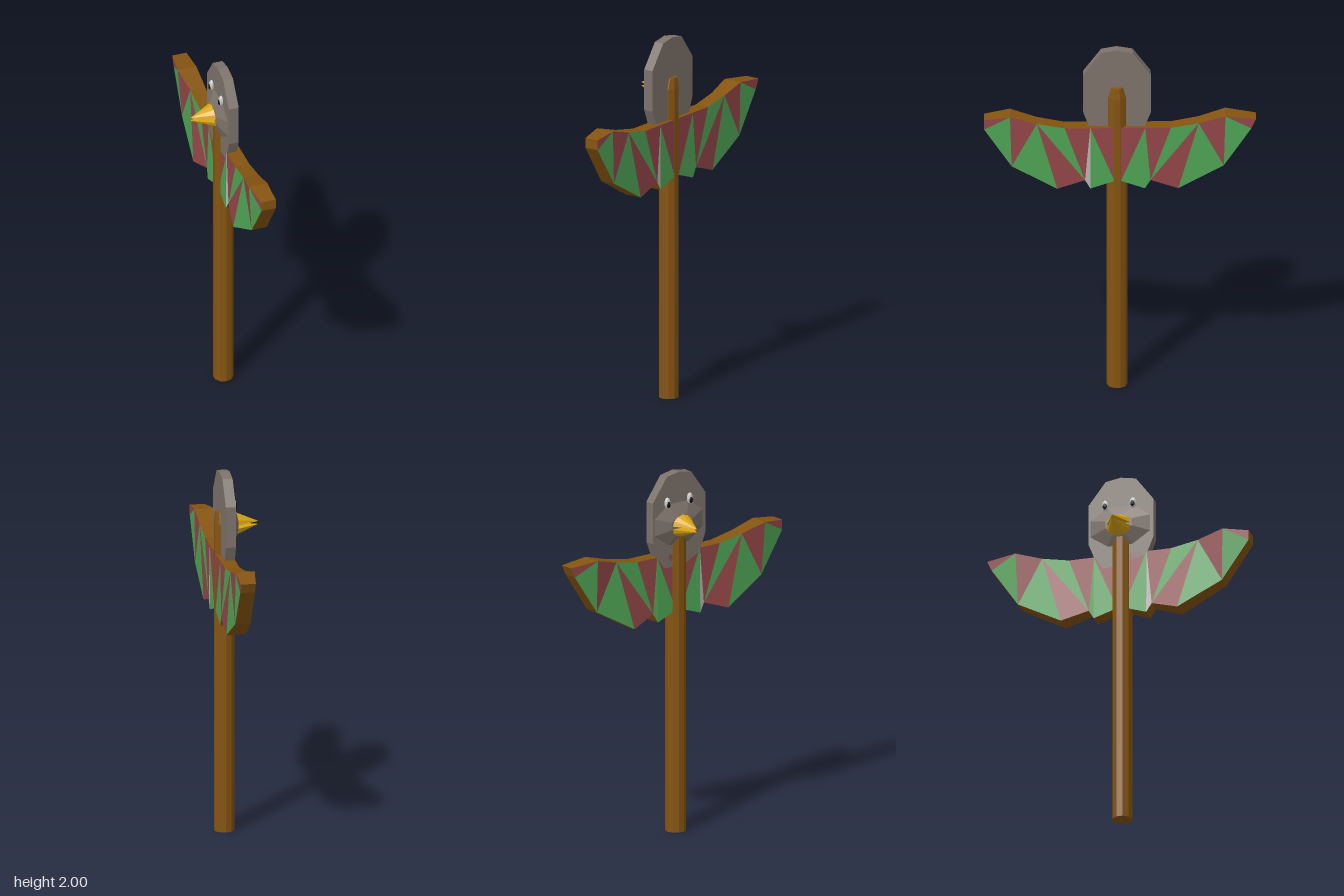
import * as THREE from 'three';

const mat = (color, extra = {}) => new THREE.MeshStandardMaterial({ color, flatShading: true, ...extra });
const wood = mat(0x855410), green = mat(0x4fa555), red = mat(0x944648);
const stone = mat(0x7d736b), pale = mat(0xbfb5b5), gold = mat(0xd9a514);
const black = mat(0x111111), white = mat(0xdddddd);
const MID = 0.0125; // mirror plane in z

function add(parent, name, geo, material, x = 0, y = 0, z = 0) {
  const mesh = new THREE.Mesh(geo, material);
  mesh.name = name;
  mesh.position.set(x, y, z);
  parent.add(mesh);
  return mesh;
}

// Wing outline stations from tip to root: [z, y, x of the carved face]
const TOP = [[0.725, 1.6, 0.035], [0.587, 1.617, 0.01], [0.444, 1.577, 0.03],
  [0.296, 1.55, 0.035], [0.159, 1.55, 0.035], [0.03, 1.55, 0.035]];
const LOW = [[0.725, 1.545, 0.035], [0.578, 1.325, 0.03], [0.335, 1.19, 0.01],
  [0.187, 1.24, 0.035], [0.158, 1.19, 0.03], [0.03, 1.235, 0.035]];
// Painted triangles across the wing: top stations 0-5, lower stations 6-11
const PAINT = [[0, 1, 6, 'r'], [1, 7, 6, 'g'], [1, 2, 7, 'r'], [2, 8, 7, 'g'], [2, 9, 8, 'r'],
  [2, 3, 9, 'g'], [3, 4, 9, 'r'], [4, 10, 9, 'p'], [4, 11, 10, 'g'], [4, 5, 11, 'r']];

function makeWing(name, mirrored) {
  const wing = new THREE.Group();
  wing.name = name;
  const pts = [...TOP, ...LOW].map(([z, y, x], i) => {
    const zz = !mirrored ? z : i === 0 ? -0.725 : 2 * MID - z;
    return { carved: [x, y, zz], flat: [0.115, y, zz] };
  });
  const faces = { r: [], g: [], p: [], wood: [] };
  const tri = (list, a, b, c) => list.push(...(mirrored ? [...a, ...b, ...c] : [...a, ...c, ...b]));
  for (const [a, b, c, key] of PAINT) {
    const list = faces[key === 'p' && mirrored ? 'g' : key];
    tri(list, pts[a].flat, pts[b].flat, pts[c].flat);
    tri(list, pts[a].carved, pts[c].carved, pts[b].carved);
  }
  // Wooden rim around the outline
  const loop = [0, 1, 2, 3, 4, 5, 11, 10, 9, 8, 7, 6];
  loop.forEach((i, k) => {
    const p = pts[i], q = pts[loop[(k + 1) % loop.length]];
    tri(faces.wood, p.flat, p.carved, q.carved);
    tri(faces.wood, p.flat, q.carved, q.flat);
  });
  const look = { r: ['redFeathers', red], g: ['greenFeathers', green], p: ['paleFeather', pale], wood: ['wingRim', wood] };
  for (const key in faces) {
    if (!faces[key].length) continue;
    const geo = new THREE.BufferGeometry();
    geo.setAttribute('position', new THREE.Float32BufferAttribute(faces[key], 3));
    geo.computeVertexNormals();
    add(wing, look[key][0], geo, look[key][1]);
  }
  return wing;
}

// Half cone pointing to -x, flat on one side
function beakHalf(sign, height) {
  const geo = new THREE.ConeGeometry(1, 0.125, 12).rotateZ(Math.PI / 2);
  const p = geo.attributes.position;
  for (let i = 0; i < p.count; i++) {
    p.setY(i, sign * Math.max(0, sign * p.getY(i)) * height);
    p.setZ(i, p.getZ(i) * 0.068);
  }
  return geo;
}

export function createModel() {
  const model = new THREE.Group();
  model.name = 'wingedPole';

  // Ten-sided pole with a tapered tip
  const turn = Math.PI / 10;
  const pole = new THREE.Group();
  pole.name = 'pole';
  add(pole, 'poleShaft', new THREE.CylinderGeometry(0.055, 0.055, 1.72, 10).rotateY(Math.PI / 2 + turn), wood, 0.065, 0.86, 0.016);
  const tip = new THREE.CylinderGeometry(0.036, 0.055, 0.06, 10).rotateY(Math.PI / 2 + turn);
  // Lean the tip outward so it stays near the back of the head
  const tp = tip.attributes.position;
  for (let i = 0; i < tp.count; i++) if (tp.getY(i) > 0) tp.setX(i, tp.getX(i) + 0.012);
  add(pole, 'poleTip', tip, wood, 0.065, 1.75, 0.016);
  model.add(pole);

  model.add(makeWing('leftWing', false), makeWing('rightWing', true));

  // Flat head slab
  const head = new THREE.Group();
  head.name = 'head';
  const half = [[0.084, 1.985], [0.18, 1.855], [0.18, 1.63], [0.145, 1.54], [0.1, 1.48]];
  const outline = [[0, 2], ...half, ...half.map(([z, y]) => [-z, y]).reverse()];
  const slab = new THREE.ExtrudeGeometry(
    new THREE.Shape(outline.map(([z, y]) => new THREE.Vector2(z, y))), { depth: 0.055, bevelEnabled: false });
  add(head, 'headSlab', slab.rotateY(-Math.PI / 2), stone, 0.09, 0, 0.016);

  // Raised face around the beak
  const face = new THREE.CylinderGeometry(0.43, 1, 0.035, 8).rotateY(Math.PI / 8).rotateZ(Math.PI / 2);
  add(head, 'face', face.scale(1, 0.125, 0.182), stone, 0.0185, 1.717, 0.0125);

  // Beak, slightly open
  add(head, 'upperBeak', beakHalf(1, 0.056), gold, -0.0575, 1.715, 0.0125);
  add(head, 'lowerBeak', beakHalf(-1, 0.05), gold, -0.0575, 1.698, 0.0125);

  // Eyes with pupils
  for (const side of [-1, 1]) {
    const z = 0.008 + side * 0.077;
    add(head, 'eye', new THREE.SphereGeometry(1, 10, 8).scale(0.014, 0.031, 0.018), white, 0.029, 1.842, z);
    add(head, 'pupil', new THREE.SphereGeometry(1, 8, 6).scale(0.008, 0.018, 0.012), black, 0.019, 1.835, z);
  }
  model.add(head);
  return model;
}
